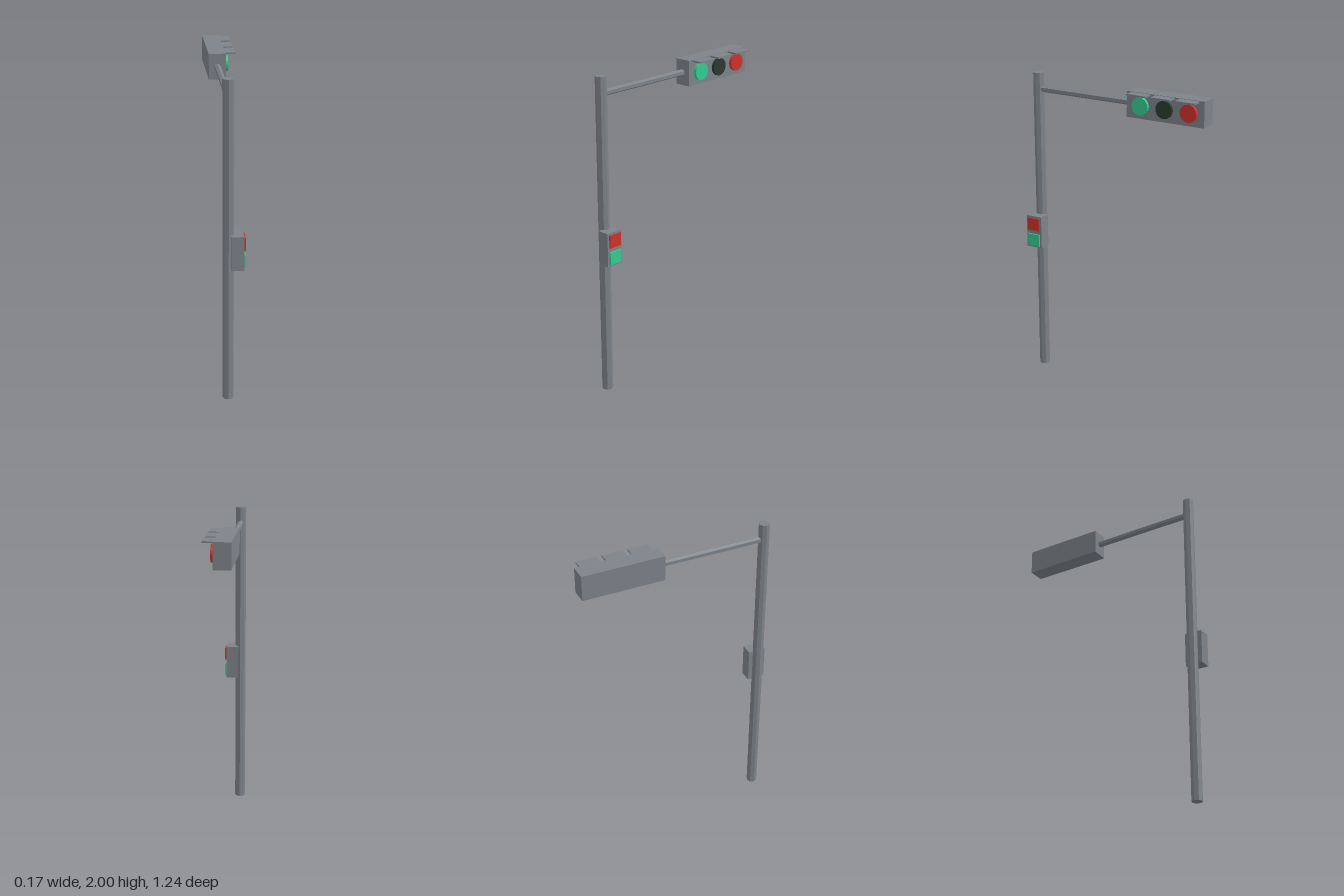
import * as THREE from 'three';

const paint = (name, color) => {
  const m = new THREE.MeshStandardMaterial({ color, flatShading: true });
  m.name = name;
  return m;
};

export function createModel() {
  const grey = paint('grey metal', 0x7d838a);
  const red = paint('red light', 0xcc332b);
  const green = paint('green light', 0x34cb91);
  const dark = paint('unlit lens', 0x2b3a33);

  const model = new THREE.Group();
  model.name = 'trafficLight';

  const add = (parent, name, geometry, material, x, y, z) => {
    const mesh = new THREE.Mesh(geometry, material);
    mesh.name = name;
    mesh.position.set(x, y, z);
    parent.add(mesh);
    return mesh;
  };
  const box = (w, h, d) => new THREE.BoxGeometry(w, h, d);

  // Octagonal pole and hexagonal arm reaching back to the signal head
  const poleX = -0.033, poleZ = 0.566, headZ = -0.363, headY = 1.897;
  add(model, 'pole', new THREE.CylinderGeometry(0.034, 0.034, 2, 8), grey, poleX, 1, poleZ);
  const armLength = 0.68;
  const arm = new THREE.CylinderGeometry(0.02, 0.02, armLength, 6).rotateX(Math.PI / 2);
  add(model, 'arm', arm, grey, poleX, headY, poleZ - armLength / 2);

  // Horizontal signal head with three round lenses under flat visors
  const head = new THREE.Group();
  head.name = 'signalHead';
  model.add(head);
  add(head, 'housing', box(0.105, 0.158, 0.517), grey, poleX, headY, headZ);
  [['green', green], ['middle', dark], ['red', red]].forEach(([name, material], i) => {
    const z = headZ + (1 - i) * 0.161;
    const lens = new THREE.CylinderGeometry(0.054, 0.054, 0.03, 16).rotateZ(-Math.PI / 2);
    add(head, name + 'Lens', lens, material, 0.023, headY, z);
    add(head, name + 'Visor', box(0.066, 0.01, 0.128), grey, 0.05, 1.969, z);
  });

  // Pedestrian signal on the side of the pole
  const crossing = new THREE.Group();
  crossing.name = 'pedestrianSignal';
  model.add(crossing);
  add(crossing, 'pedestrianHousing', box(0.076, 0.212, 0.112), grey, 0.018, 0.969, poleZ);
  add(crossing, 'stopLamp', box(0.02, 0.08, 0.086), red, 0.056, 1.022, poleZ);
  add(crossing, 'walkLamp', box(0.02, 0.08, 0.086), green, 0.056, 0.915, poleZ);

  return model;
}
